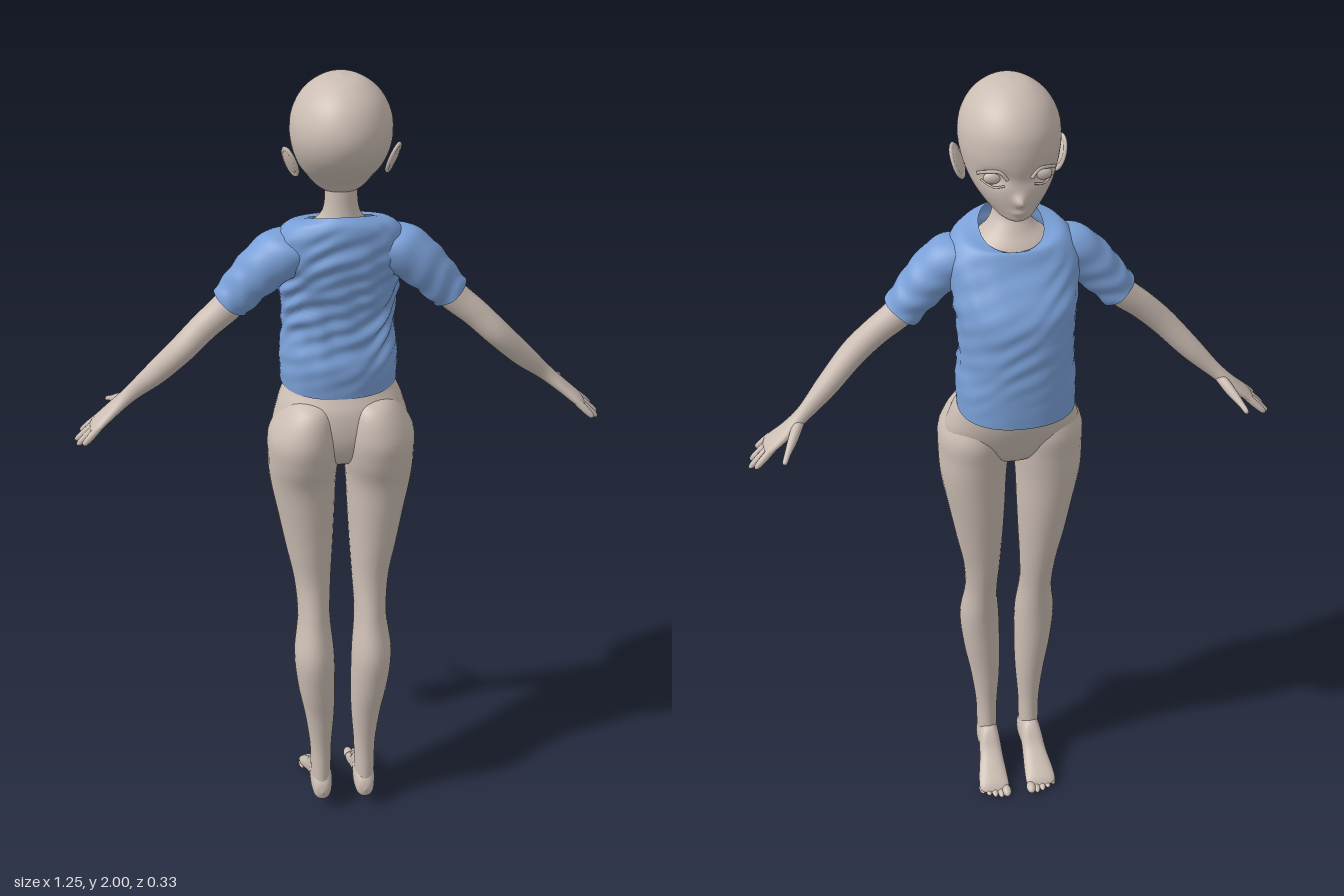
import * as THREE from 'three';

const skin = new THREE.MeshStandardMaterial({ color: 0xcbbdb3 });
skin.name = 'skin';
const cloth = new THREE.MeshStandardMaterial({ color: 0x7aa0d8, side: THREE.DoubleSide });
cloth.name = 'blueCloth';

const V = (x, y, z) => new THREE.Vector3(x, y, z);
const X = V(1, 0, 0), Y = V(0, 1, 0), Z = V(0, 0, 1);

// Smooth skin through elliptical rings [x, y, z, radiusU, radiusV, tilt].
// u and v span each ring; tilt raises the +v side; warp moves finished points.
function loft(name, rings, { u = X, v = Z, seg = 32, steps = 6, mat = skin, power = 1, warp } = {}) {
  const centres = new THREE.CatmullRomCurve3(rings.map(r => V(r[0], r[1], r[2])), false, 'catmullrom', 0.5);
  const radii = new THREE.CatmullRomCurve3(rings.map(r => V(r[3], r[4], r[5] || 0)), false, 'catmullrom', 0.5);
  const rows = (rings.length - 1) * steps, pos = [], index = [];
  const run = centres.getPoint(1).sub(centres.getPoint(0));
  const flip = u.clone().cross(v).dot(run) < 0;
  const round = t => Math.sign(t) * Math.abs(t) ** power;
  for (let i = 0; i <= rows; i++) {
    const c = centres.getPoint(i / rows), r = radii.getPoint(i / rows);
    for (let j = 0; j < seg; j++) {
      const a = j / seg * Math.PI * 2, s = round(Math.sin(a)) * Math.max(r.y, 0);
      const p = c.clone().addScaledVector(u, round(Math.cos(a)) * Math.max(r.x, 0)).addScaledVector(v, s);
      p.y += s * r.z;
      if (warp) warp(p, a, i / rows);
      pos.push(p.x, p.y, p.z);
      if (i < rows) {
        const k = (j + 1) % seg, A = i * seg + j, B = i * seg + k, C = A + seg, D = B + seg;
        if (flip) index.push(A, C, B, B, C, D);
        else index.push(A, B, C, B, D, C);
      }
    }
  }
  const g = new THREE.BufferGeometry();
  g.setAttribute('position', new THREE.Float32BufferAttribute(pos, 3));
  g.setIndex(index);
  g.computeVertexNormals();
  const m = new THREE.Mesh(g, mat);
  m.name = name;
  return m;
}

// Ring of a vertical part from its outer limits in x and z
const band = (y, x0, x1, z0, z1, tilt = 0) =>
  [(x0 + x1) / 2, y, (z0 + z1) / 2, (x1 - x0) / 2, (z1 - z0) / 2, tilt];
const mid = (y, w, z0, z1, tilt) => band(y, -w, w, z0, z1, tilt);

function ball(name, x, y, z, sx, sy, sz) {
  const m = new THREE.Mesh(new THREE.SphereGeometry(1, 20, 14), skin);
  m.position.set(x, y, z);
  m.scale.set(sx, sy, sz);
  m.name = name;
  return m;
}

function tube(name, points, r) {
  const m = new THREE.Mesh(new THREE.TubeGeometry(new THREE.CatmullRomCurve3(points), 16, r, 6), skin);
  m.name = name;
  return m;
}

function createHead() {
  const g = new THREE.Group();
  g.name = 'head';
  // Hollow the eye sockets and raise the nose and mouth
  const bump = (p, x, y, wx, wy) => Math.exp(-(((Math.abs(p.x) - x) / wx) ** 2) - ((p.y - y) / wy) ** 2);
  const face = p => {
    if (p.z > -0.01) return;
    p.z += 0.014 * bump(p, 0.052, 1.822, 0.026, 0.017) - 0.018 * bump(p, 0, 1.772, 0.01, 0.013)
      - 0.005 * bump(p, 0, 1.742, 0.016, 0.007) + 0.004 * bump(p, 0, 1.815, 0.03, 0.02);
  };
  g.add(loft('skull', [
    mid(2, 0, 0.04, 0.04), mid(1.99, 0.045, -0.013, 0.095), mid(1.96, 0.084, -0.058, 0.137),
    mid(1.92, 0.106, -0.085, 0.16), mid(1.88, 0.112, -0.093, 0.165), mid(1.84, 0.108, -0.092, 0.152),
    mid(1.8, 0.096, -0.091, 0.122), mid(1.77, 0.08, -0.09, 0.092), mid(1.74, 0.058, -0.086, 0.066),
    mid(1.72, 0.035, -0.081, 0.025), mid(1.71, 0, -0.055, -0.055)], { seg: 80, steps: 8, warp: face }));
  for (const s of [1, -1]) {
    g.add(ball('eye', s * 0.052, 1.82, -0.061, 0.023, 0.015, 0.012));
    g.add(tube('upperLid', [V(s * 0.026, 1.822, -0.083), V(s * 0.042, 1.84, -0.08),
      V(s * 0.064, 1.838, -0.068), V(s * 0.084, 1.826, -0.044)], 0.004));
    g.add(tube('lowerLid', [V(s * 0.032, 1.808, -0.083), V(s * 0.055, 1.803, -0.073), V(s * 0.078, 1.812, -0.05)], 0.0025));
    // Ear: a leaning flap with a raised rim
    const ear = new THREE.Group();
    ear.name = 'ear';
    ear.add(ball('earFlap', 0, 0, 0, 0.007, 0.037, 0.022));
    const rim = new THREE.Mesh(new THREE.TorusGeometry(0.02, 0.0045, 8, 24), skin);
    rim.name = 'earRim';
    rim.rotation.y = Math.PI / 2;
    rim.scale.set(1, 1.75, 1);
    ear.add(rim);
    ear.position.set(s * 0.112, 1.81, 0.05);
    ear.rotation.set(0.15, s * -0.6, s * -0.3);
    g.add(ear);
  }
  return g;
}

function createArm(s) {
  const g = new THREE.Group();
  g.name = s > 0 ? 'leftArm' : 'rightArm';
  const u = V(s * 0.72, 0.69, 0);
  g.add(loft('armAndPalm', [
    [0.15, 1.57, 0.025, 0.04, 0.042], [0.25, 1.463, 0.025, 0.036, 0.036], [0.31, 1.41, 0.03, 0.033, 0.033],
    [0.365, 1.355, 0.034, 0.031, 0.034], [0.43, 1.285, 0.018, 0.027, 0.028], [0.485, 1.23, 0.002, 0.019, 0.019],
    [0.53, 1.188, -0.002, 0.015, 0.03], [0.565, 1.157, 0.002, 0.013, 0.037], [0.58, 1.143, 0.003, 0.009, 0.033],
    [0.585, 1.139, 0.003, 0, 0]].map(r => [s * r[0], ...r.slice(1)]), { u, seg: 24 }));
  // Four fingers, then the thumb
  const tips = [[0.612, 1.112, -0.036], [0.625, 1.1, -0.014], [0.62, 1.103, 0.014], [0.604, 1.118, 0.041]];
  tips.forEach(([x, y, z], i) => {
    const a = V(0.565, 1.157, -0.024 + i * 0.018), b = V(x, y, z);
    const ring = (t, r) => { const p = a.clone().lerp(b, t); return [s * p.x, p.y, p.z, r, r]; };
    g.add(loft('finger', [ring(0, 0.009), ring(0.5, 0.009), ring(0.9, 0.0065), ring(1, 0)], { u, seg: 10, steps: 4 }));
  });
  g.add(loft('thumb', [[s * 0.5, 1.212, -0.008, 0.013, 0.013], [s * 0.518, 1.192, -0.042, 0.012, 0.014],
    [s * 0.535, 1.175, -0.075, 0.008, 0.008], [s * 0.545, 1.163, -0.096, 0.006, 0.006],
    [s * 0.547, 1.161, -0.1, 0, 0]], { u: V(s * 0.9, 0, 0.4), v: Y, seg: 12, steps: 4 }));
  return g;
}

function createLeg(s) {
  const g = new THREE.Group();
  g.name = s > 0 ? 'leftLeg' : 'rightLeg';
  const side = r => [s * r[0], ...r.slice(1)];
  g.add(loft('legShape', [
    band(1.225, 0.07, 0.07, 0.03, 0.03), band(1.2, 0.02, 0.125, -0.04, 0.105), band(1.13, 0.002, 0.17, -0.07, 0.135),
    band(1.06, 0.004, 0.174, -0.066, 0.128), band(0.99, 0.011, 0.17, -0.06, 0.108), band(0.9, 0.015, 0.154, -0.053, 0.102),
    band(0.8, 0.02, 0.136, -0.04, 0.098), band(0.7, 0.026, 0.117, -0.023, 0.097), band(0.6, 0.03, 0.111, -0.002, 0.115),
    band(0.5, 0.022, 0.122, 0.015, 0.14), band(0.4, 0.02, 0.114, 0.024, 0.134), band(0.3, 0.022, 0.097, 0.031, 0.117),
    band(0.2, 0.029, 0.085, 0.036, 0.107), band(0.12, 0.031, 0.083, 0.033, 0.11), band(0.06, 0.033, 0.081, 0.03, 0.114)].map(side)));
  // Foot runs from heel to toes, towards -z
  const sole = (z, y0, y1, cx, a) => side([cx, (y0 + y1) / 2, z, a, (y1 - y0) / 2]);
  g.add(loft('foot', [sole(0.122, 0.065, 0.065, 0.056, 0), sole(0.112, 0.038, 0.095, 0.056, 0.02),
    sole(0.08, 0.028, 0.125, 0.056, 0.028), sole(0.03, 0.028, 0.132, 0.057, 0.028), sole(-0.01, 0.022, 0.085, 0.059, 0.032),
    sole(-0.05, 0.005, 0.053, 0.062, 0.038), sole(-0.08, 0.001, 0.03, 0.063, 0.038), sole(-0.092, 0.012, 0.014, 0.063, 0.02)],
  { v: Y, power: 0.85 }));
  for (let i = 0; i < 5; i++) {
    const r = i ? 0.0085 : 0.012;
    g.add(ball('toe', s * (0.033 + i * 0.0155), r, -0.093 + i * i * 0.0015, r, r, 0.02));
  }
  return g;
}

function createShirt() {
  const g = new THREE.Group();
  g.name = 'shirt';
  // Soft folds, strongest on the back and around the waist
  const folds = (p, a, t) => {
    const w = (p.z > 0 ? 0.0045 : 0.0015) * Math.sin(Math.PI * Math.min(t * 1.1, 1));
    const f = Math.sin(p.y * 75 + 5 * Math.sin(a * 3 + p.y * 12)) + 0.6 * Math.sin(p.y * 140 + a * 7);
    p.x += Math.cos(a) * w * f;
    p.z += Math.sin(a) * w * f;
  };
  g.add(loft('shirtBody', [
    mid(1.23, 0.137, -0.163, 0.085), mid(1.3, 0.138, -0.164, 0.09), mid(1.36, 0.132, -0.163, 0.081),
    mid(1.42, 0.133, -0.16, 0.079), mid(1.5, 0.14, -0.15, 0.09), mid(1.56, 0.148, -0.112, 0.104),
    mid(1.61, 0.148, -0.085, 0.107, 0.1), mid(1.65, 0.118, -0.068, 0.104, 0.2), mid(1.66, 0.072, -0.056, 0.088, 0.42)],
  { seg: 72, steps: 8, mat: cloth, power: 0.88, warp: folds }));
  for (const s of [1, -1]) {
    const crease = (p, a, t) => {
      const f = 0.003 * Math.sin(t * 26 + 2 * Math.sin(a * 2)) * t;
      p.y += f * Math.cos(a);
      p.z += f * Math.sin(a);
    };
    g.add(loft('sleeve', [[0.06, 1.615, 0.025, 0.03, 0.05], [0.115, 1.595, 0.027, 0.06, 0.064], [0.172, 1.552, 0.028, 0.058, 0.06],
      [0.215, 1.508, 0.025, 0.051, 0.054], [0.252, 1.463, 0.022, 0.046, 0.047]].map(r => [s * r[0], ...r.slice(1)]),
    { u: V(s * 0.77, 0.64, 0), seg: 40, steps: 8, mat: cloth, warp: crease }));
  }
  return g;
}

export function createModel() {
  const model = new THREE.Group();
  model.name = 'figure';
  model.add(loft('torsoAndNeck', [
    mid(1.03, 0.03, 0.0, 0.05), mid(1.06, 0.09, -0.045, 0.085), mid(1.12, 0.158, -0.075, 0.105), mid(1.19, 0.148, -0.097, 0.1),
    mid(1.26, 0.122, -0.1, 0.072), mid(1.4, 0.105, -0.08, 0.06), mid(1.55, 0.115, -0.075, 0.085), mid(1.62, 0.1, -0.052, 0.088),
    mid(1.66, 0.055, -0.024, 0.078), mid(1.7, 0.038, -0.002, 0.07), mid(1.77, 0.037, -0.006, 0.066)], { seg: 40 }));
  model.add(createHead(), createShirt());
  for (const s of [1, -1]) model.add(createArm(s), createLeg(s));
  return model;
}
